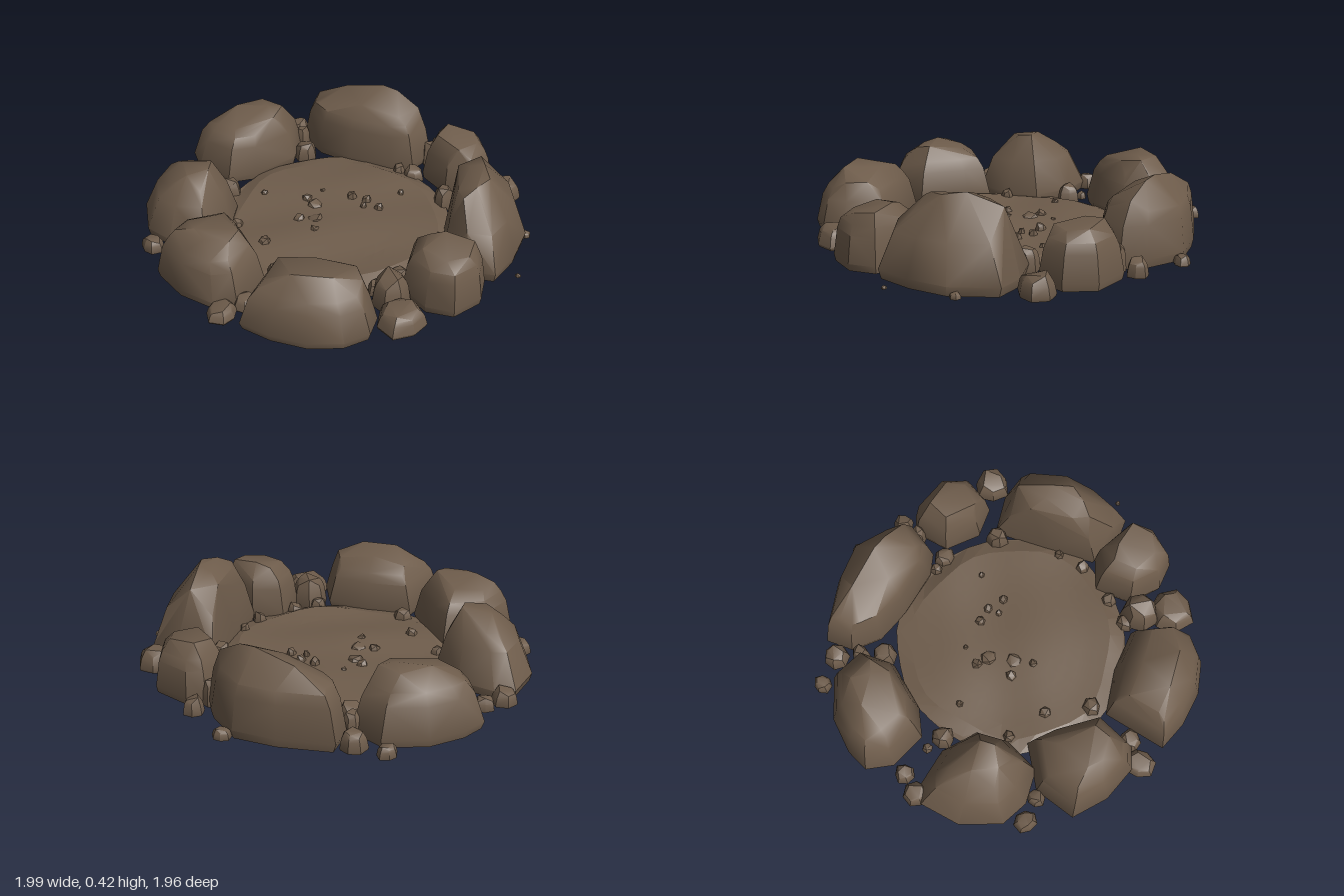
import * as THREE from 'three';
import { toCreasedNormals } from 'three/addons/utils/BufferGeometryUtils.js';
import { ConvexGeometry } from 'three/addons/geometries/ConvexGeometry.js';

const stone = new THREE.MeshStandardMaterial({ color: 0x6e5c4b });
stone.name = 'brown stone';

// Small seeded generator
let seed = 11;
const rand = () => {
  seed = (seed * 16807) % 2147483647;
  return seed / 2147483647;
};

// Rock hull: footprint [x, z] points, leaning shoulder rings, top [x, y, z] points
function rock(name, outline, top, lean = 0.16, crease = 0.7) {
  const pts = top.map((p) => new THREE.Vector3(...p));
  const c = new THREE.Vector3();
  pts.forEach((p) => c.add(p));
  c.divideScalar(top.length);
  const rings = [[0, 0.04], [0.13, 0], [0.62, lean], [0.8, lean * 1.9]];
  for (const [k, t] of rings) {
    for (const [x, z] of outline) {
      pts.push(new THREE.Vector3(
        THREE.MathUtils.lerp(x, c.x, t), c.y * k, THREE.MathUtils.lerp(z, c.z, t)));
    }
  }
  const mesh = new THREE.Mesh(toCreasedNormals(new ConvexGeometry(pts), crease), stone);
  mesh.name = name;
  return mesh;
}

// Small stone with a seeded irregular outline
function pebble(name, x, z, r, h, sides = 7) {
  const outline = [], top = [];
  const turn = rand() * 6;
  for (let i = 0; i < sides; i++) {
    const a = turn + (i / sides) * Math.PI * 2;
    const d = r * (0.85 + 0.25 * rand());
    outline.push([x + Math.cos(a) * d, z + Math.sin(a) * d]);
    if (i % 2 === 0) {
      top.push([x + Math.cos(a) * d * 0.6, h * (0.8 + 0.2 * rand()), z + Math.sin(a) * d * 0.6]);
    }
  }
  return rock(name, outline, top, 0.12, 0.5);
}

// Uneven ground slab inside the ring
function ground() {
  const g = new THREE.Group();
  g.name = 'ground';
  const n = 36, rings = 8, pos = [], idx = [];
  const edge = (a) => 0.59 + 0.015 * Math.sin(3 * a + 1) + 0.012 * Math.sin(7 * a);
  for (let j = 0; j <= rings; j++) {
    for (let i = 0; i < n; i++) {
      const a = (i / n) * Math.PI * 2, r = (edge(a) * j) / rings;
      const x = Math.cos(a) * r, z = Math.sin(a) * r - 0.02;
      const bump = 0.01 * Math.sin(7 * x + 2) * Math.cos(6 * z) + 0.007 * Math.sin(13 * z + 5 * x);
      pos.push(x, j === rings ? 0.02 : 0.046 + bump, z);
    }
  }
  for (let j = 0; j < rings; j++) {
    for (let i = 0; i < n; i++) {
      const a = j * n + i, b = j * n + ((i + 1) % n);
      if (j > 0) idx.push(a, b, b + n);
      idx.push(a, b + n, a + n);
    }
  }
  const geo = new THREE.BufferGeometry();
  geo.setAttribute('position', new THREE.Float32BufferAttribute(pos, 3));
  geo.setIndex(idx);
  const surface = new THREE.Mesh(toCreasedNormals(geo, 0.12), stone);
  surface.name = 'groundSurface';
  const base = new THREE.Mesh(new THREE.CylinderGeometry(0.59, 0.58, 0.02, n), stone);
  base.name = 'groundBase';
  base.position.set(0, 0.01, -0.02);
  g.add(surface, base);
  return g;
}

export function createModel() {
  const model = new THREE.Group();
  model.name = 'stoneRing';
  model.add(ground());

  // Eight large boulders
  const boulders = new THREE.Group();
  boulders.name = 'boulders';
  boulders.add(
    rock('backBoulder',
      [[-0.27, -0.94], [0, -0.97], [0.22, -0.95], [0.38, -0.8], [0.44, -0.68], [0.35, -0.56],
        [0.24, -0.54], [0, -0.6], [-0.18, -0.68], [-0.28, -0.8]],
      [[-0.2, 0.28, -0.86], [-0.2, 0.27, -0.76], [-0.05, 0.355, -0.84], [0.16, 0.4, -0.79],
        [0.24, 0.39, -0.76], [0.36, 0.32, -0.71], [0.26, 0.31, -0.61], [0.05, 0.33, -0.68]], 0.09),
    rock('backRightBoulder',
      [[-0.45, -0.84], [-0.29, -0.75], [-0.3, -0.56], [-0.48, -0.37], [-0.62, -0.31], [-0.8, -0.4],
        [-0.86, -0.53], [-0.8, -0.64], [-0.66, -0.77]],
      [[-0.5, 0.315, -0.7], [-0.38, 0.315, -0.64], [-0.41, 0.3, -0.53], [-0.6, 0.275, -0.42],
        [-0.7, 0.27, -0.48], [-0.62, 0.325, -0.6], [-0.45, 0.325, -0.61]], 0.15),
    rock('rightBoulder',
      [[-0.95, -0.21], [-0.85, -0.24], [-0.66, -0.19], [-0.52, -0.05], [-0.52, 0.11], [-0.62, 0.29],
        [-0.8, 0.29], [-0.93, 0.21], [-0.995, 0]],
      [[-0.78, 0.335, 0.01], [-0.63, 0.35, 0.01], [-0.63, 0.345, 0.08], [-0.73, 0.33, 0.13]], 0.25),
    rock('frontRightBoulder',
      [[-0.72, 0.32], [-0.5, 0.21], [-0.41, 0.31], [-0.27, 0.53], [-0.37, 0.72], [-0.48, 0.75],
        [-0.66, 0.67], [-0.8, 0.53]],
      [[-0.66, 0.27, 0.42], [-0.52, 0.28, 0.37], [-0.39, 0.31, 0.52], [-0.42, 0.295, 0.6],
        [-0.54, 0.295, 0.6], [-0.6, 0.31, 0.54], [-0.7, 0.28, 0.52]], 0.13),
    rock('frontBoulder',
      [[-0.24, 0.55], [0, 0.53], [0.22, 0.56], [0.3, 0.75], [0.28, 0.87], [0.17, 0.95], [0, 0.975],
        [-0.18, 0.94], [-0.33, 0.87], [-0.26, 0.67]],
      [[-0.18, 0.26, 0.64], [0, 0.29, 0.66], [0.19, 0.26, 0.66], [0.23, 0.26, 0.76],
        [0.1, 0.305, 0.82], [-0.09, 0.305, 0.82], [-0.22, 0.25, 0.8]], 0.13),
    rock('frontLeftBoulder',
      [[0.41, 0.32], [0.57, 0.27], [0.78, 0.4], [0.77, 0.54], [0.65, 0.66], [0.51, 0.64], [0.39, 0.51]],
      [[0.5, 0.27, 0.38], [0.58, 0.295, 0.38], [0.72, 0.28, 0.42], [0.7, 0.265, 0.53],
        [0.6, 0.26, 0.57], [0.48, 0.27, 0.5]], 0.1),
    rock('leftBoulder',
      [[0.58, -0.28], [0.78, -0.29], [0.92, -0.24], [0.97, 0], [0.92, 0.2], [0.83, 0.37], [0.7, 0.36],
        [0.56, 0.27], [0.56, 0]],
      [[0.62, 0.36, 0.12], [0.61, 0.36, -0.1], [0.67, 0.4, -0.04], [0.74, 0.422, -0.03],
        [0.77, 0.41, 0.08], [0.71, 0.4, 0.15], [0.65, 0.365, 0.2], [0.68, 0.25, 0.32],
        [0.72, 0.36, -0.2]], 0.22),
    rock('backLeftBoulder',
      [[0.45, -0.69], [0.54, -0.72], [0.73, -0.64], [0.78, -0.48], [0.69, -0.35], [0.54, -0.36],
        [0.41, -0.51]],
      [[0.53, 0.285, -0.62], [0.67, 0.27, -0.58], [0.69, 0.26, -0.48], [0.6, 0.26, -0.4],
        [0.48, 0.27, -0.52]], 0.12));
  model.add(boulders);

  // Stones wedged between the boulders: x, z, radius, height
  const fillers = new THREE.Group();
  fillers.name = 'fillerStones';
  [[0.41, 0.73, 0.125, 0.11], [0.34, 0.575, 0.1, 0.18], [0.84, -0.385, 0.1, 0.11],
    [-0.43, 0.78, 0.08, 0.06], [-0.33, 0.7, 0.06, 0.07], [-0.33, -0.87, 0.065, 0.1],
    [-0.25, -0.63, 0.07, 0.1], [-0.9, -0.25, 0.065, 0.08], [-0.59, -0.21, 0.06, 0.1],
    [0.54, -0.26, 0.06, 0.12], [0.48, -0.77, 0.055, 0.09], [0.43, -0.67, 0.045, 0.14],
    [0.36, -0.5, 0.06, 0.07], [-0.88, 0.31, 0.06, 0.07], [-0.82, -0.34, 0.055, 0.07],
    [-0.49, -0.89, 0.05, 0.06], [0.27, -0.95, 0.045, 0.05], [-0.29, -0.75, 0.05, 0.12],
    [-0.75, 0.33, 0.05, 0.06],
  ].forEach(([x, z, r, h]) => fillers.add(pebble('fillerStone', x, z, r, h)));
  model.add(fillers);

  // Loose pebbles and flat flakes: x, z, radius, height
  const pebbles = new THREE.Group();
  pebbles.name = 'pebbles';
  [[-0.22, 0.47, 0.05, 0.09], [-0.32, 0.25, 0.038, 0.08], [-0.49, 0.11, 0.035, 0.08],
    [-0.09, 0.12, 0.032, 0.075], [0.06, -0.21, 0.032, 0.08], [0.21, -0.13, 0.03, 0.075],
    [0.14, -0.19, 0.027, 0.075], [0.13, -0.13, 0.02, 0.07], [-0.4, -0.18, 0.025, 0.07],
    [0.54, 0.08, 0.03, 0.07], [0.51, 0.22, 0.04, 0.08], [0.37, 0.4, 0.045, 0.08],
    [0.27, 0.51, 0.05, 0.07], [0.97, -0.04, 0.03, 0.03], [0.94, 0.3, 0.014, 0.015],
    [-0.17, -0.16, 0.035, 0.075], [-0.12, -0.11, 0.05, 0.07], [-0.18, 0.03, 0.035, 0.075],
    [-0.1, 0.02, 0.055, 0.07], [-0.1, -0.24, 0.02, 0.065], [0.31, -0.28, 0.02, 0.065],
    [-0.66, -0.27, 0.03, 0.04], [0.28, -0.52, 0.035, 0.07],
  ].forEach(([x, z, r, h]) => pebbles.add(pebble('pebble', x, z, r, h, 6)));
  model.add(pebbles);

  return model;
}
